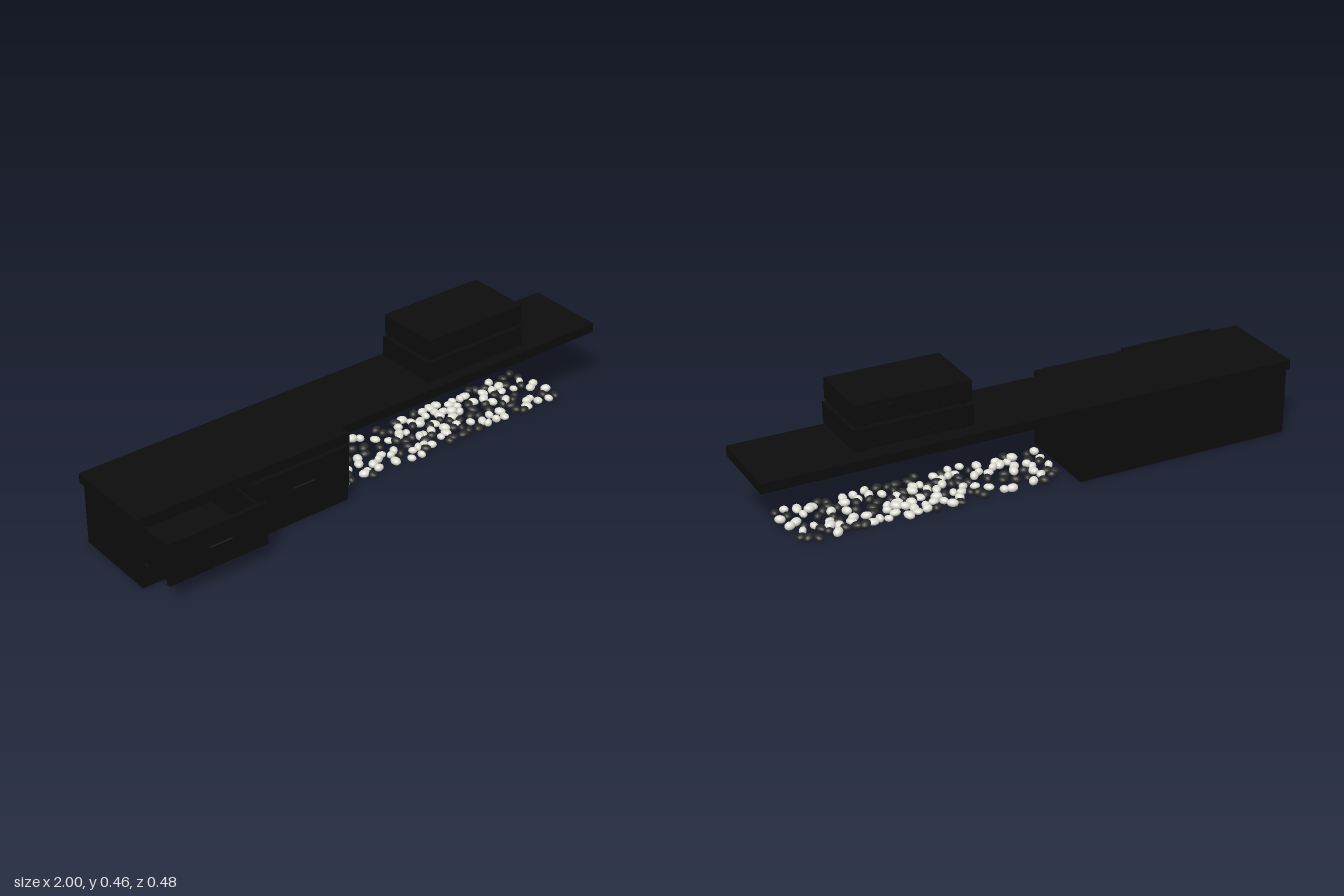
import * as THREE from 'three';

const black = new THREE.MeshStandardMaterial({ color: 0x0c0c0c });
const white = new THREE.MeshStandardMaterial({ color: 0xdcdcd4 });
const dark = new THREE.MeshStandardMaterial({ color: 0x262626 });

// Box given by its min and max corner
function box(parent, name, [x0, x1], [y0, y1], [z0, z1]) {
  const m = new THREE.Mesh(new THREE.BoxGeometry(x1 - x0, y1 - y0, z1 - z0), black);
  m.position.set((x0 + x1) / 2, (y0 + y1) / 2, (z0 + z1) / 2);
  m.name = name;
  parent.add(m);
  return m;
}

function group(parent, name) {
  const g = new THREE.Group();
  g.name = name;
  parent.add(g);
  return g;
}

function rod(parent, name, r, length, x, y, z) {
  const m = new THREE.Mesh(new THREE.CylinderGeometry(r, r, length, 16), black);
  m.rotation.x = Math.PI / 2;
  m.position.set(x, y, z);
  m.name = name;
  parent.add(m);
  return m;
}

// Open-topped drawer with an overhanging front and a bar handle
function drawer(parent, name, x0, x1, zFront) {
  const g = group(parent, name);
  const t = 0.01, zb = zFront - 0.018, depth = 0.29;
  const z0 = Math.max(zb - depth, -0.225);
  const a = x0 + 0.008, b = x1 - 0.008;
  box(g, 'drawerFront', [x0, x1], [0.08, 0.24], [zb, zFront]);
  box(g, 'drawerBottom', [a, b], [0.085, 0.097], [z0, zb]);
  box(g, 'drawerSide', [a, a + t], [0.097, 0.222], [z0, zb]);
  box(g, 'drawerSide', [b - t, b], [0.097, 0.222], [z0, zb]);
  box(g, 'drawerBack', [a + t, b - t], [0.097, 0.222], [z0, z0 + t]);
  const cx = (x0 + x1) / 2;
  const bar = rod(g, 'handleBar', 0.006, 0.085, cx, 0.172, zFront + 0.012);
  bar.rotation.set(0, 0, Math.PI / 2);
  for (const s of [-1, 1]) rod(g, 'handlePost', 0.003, 0.012, cx + s * 0.032, 0.172, zFront + 0.005);
}

// Flat equipment case on four feet
function device(parent, name, xr, yr, zr) {
  const g = group(parent, name);
  box(g, 'case', xr, yr, zr);
  for (const x of [xr[0] + 0.035, xr[1] - 0.035])
    for (const z of [0.006, -0.176]) {
      const f = new THREE.Mesh(new THREE.CylinderGeometry(0.023, 0.023, 0.009, 20), black);
      f.position.set(x, yr[0] - 0.0045, z);
      f.name = 'foot';
      g.add(f);
    }
  return g;
}

export function createModel() {
  const model = new THREE.Group();
  model.name = 'mediaUnit';

  // Stepped counter top
  const s = new THREE.Shape();
  s.moveTo(-1, 0.238).lineTo(1, 0.238).lineTo(1, -0.063).lineTo(-0.16, -0.063)
    .lineTo(-0.16, -0.108).lineTo(-1, -0.108).closePath();
  const slab = new THREE.Mesh(new THREE.ExtrudeGeometry(s, { depth: 0.036, bevelEnabled: false }), black);
  slab.rotation.x = -Math.PI / 2;
  slab.position.y = 0.252;
  slab.name = 'counterTop';
  model.add(slab);

  // Cabinet carcass, open underneath
  const cab = group(model, 'cabinet');
  const Y = [0.01, 0.252], Z = [-0.238, 0.092];
  box(cab, 'cabinetRightSide', [-0.985, -0.97], Y, Z);
  box(cab, 'cabinetLeftSide', [-0.17, -0.155], Y, Z);
  box(cab, 'cabinetDivider', [-0.577, -0.565], Y, [-0.226, 0.088]);
  box(cab, 'cabinetBack', [-0.97, -0.17], Y, [-0.238, -0.226]);
  box(cab, 'bottomRail', [-0.97, -0.17], [0.01, 0.084], [0.08, 0.092]);
  drawer(cab, 'openDrawer', -0.962, -0.58, 0.22);
  drawer(cab, 'closedDrawer', -0.562, -0.165, 0.112);

  // Two stacked devices with rear sockets
  const low = device(model, 'lowerDevice', [0.235, 0.667], [0.306, 0.382], [-0.207, 0.042]);
  const up = device(model, 'upperDevice', [0.24, 0.66], [0.392, 0.468], [-0.204, 0.04]);
  for (let i = 0; i < 6; i++) {
    rod(low, 'rearSocket', 0.004, 0.012, 0.29 + i * 0.03, 0.33, -0.212);
    rod(up, 'rearSocket', 0.006, 0.008, 0.28 + i * 0.03, 0.41, -0.208);
  }
  for (const x of [0.53, 0.59]) rod(up, 'rearTerminal', 0.012, 0.014, x, 0.445, -0.21);
  box(low, 'rearPanel', [0.26, 0.64], [0.312, 0.32], [-0.21, -0.207]);

  // Scattered pebbles
  const pebbles = group(model, 'pebbles');
  let seed = 7;
  const rnd = () => (seed = (seed * 16807) % 2147483647) / 2147483647;
  const stone = new THREE.SphereGeometry(1, 14, 10);
  const placed = [];
  for (let tries = 0; tries < 4000 && placed.length < 150; tries++) {
    const x = -0.115 + rnd() * 0.98, z = -0.19 + rnd() * 0.23;
    if (placed.some(([a, b]) => Math.hypot(a - x, b - z) < 0.027)) continue;
    placed.push([x, z]);
    const m = new THREE.Mesh(stone, rnd() < 0.6 ? white : dark);
    const r = 0.016 + rnd() * 0.006, h = 0.011 + rnd() * 0.004;
    m.scale.set(r, h, r * 0.8);
    m.position.set(x, h + 0.004 + rnd() * 0.006, z);
    m.rotation.set((rnd() - 0.5) * 0.3, rnd() * Math.PI, (rnd() - 0.5) * 0.3);
    m.name = 'pebble';
    pebbles.add(m);
  }
  return model;
}
